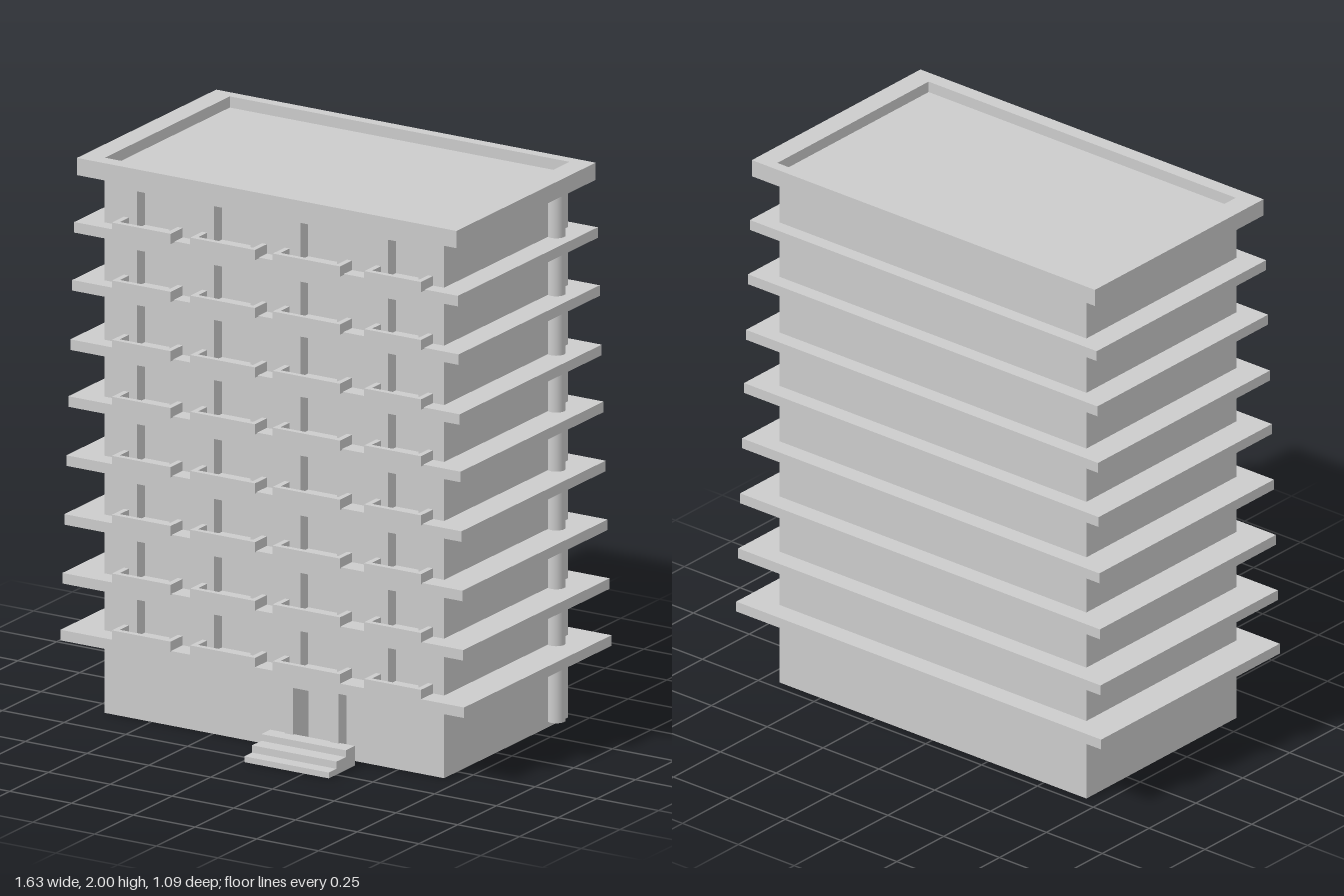
import * as THREE from 'three';

const mat = new THREE.MeshStandardMaterial({ color: 0xcccccc, flatShading: true });
const smoothMat = new THREE.MeshStandardMaterial({ color: 0xcccccc });

// Box given by its limits on each axis
function box(parent, name, x0, x1, y0, y1, z0, z1) {
  const m = new THREE.Mesh(new THREE.BoxGeometry(x1 - x0, y1 - y0, z1 - z0), mat);
  m.position.set((x0 + x1) / 2, (y0 + y1) / 2, (z0 + z1) / 2);
  m.name = name;
  parent.add(m);
  return m;
}

function rect(Type, x0, x1, y0, y1) {
  const s = new Type();
  s.moveTo(x0, y0);
  s.lineTo(x1, y0);
  s.lineTo(x1, y1);
  s.lineTo(x0, y1);
  s.closePath();
  return s;
}

function extrude(parent, name, shape, depth) {
  const m = new THREE.Mesh(new THREE.ExtrudeGeometry(shape, { depth, bevelEnabled: false }), mat);
  m.name = name;
  parent.add(m);
  return m;
}

export function createModel() {
  const model = new THREE.Group();
  model.name = 'apartmentBuilding';

  const left = -0.69, right = 0.685, back = -0.465, front = 0.335;
  const recess = front - 0.05;
  const slabBottoms = [0.26, 0.465, 0.677, 0.889, 1.102, 1.307, 1.521, 1.73];
  const slabHeight = 0.038;
  const windowTops = [0.43, 0.64, 0.847, 1.063, 1.275, 1.492, 1.69, 1.902];
  const bays = [
    { window: [-0.558, -0.426], rail: [-0.611, -0.373] },
    { window: [-0.246, -0.098], rail: [-0.294, -0.032] },
    { window: [0.103, 0.251], rail: [0.04, 0.312] },
    { window: [0.458, 0.582], rail: [0.41, 0.64] },
  ];
  const door = [0.105, 0.255, 0.02, 0.24];

  // Main block and the front wall with window and door recesses
  box(model, 'mainBlock', left, right, 0, 1.955, back, recess);
  const wall = rect(THREE.Shape, left, right, 0, 1.95);
  wall.holes.push(rect(THREE.Path, ...door));
  slabBottoms.forEach((y, i) => {
    for (const b of bays) {
      wall.holes.push(rect(THREE.Path, ...b.window, y + slabHeight - 0.005, windowTops[i]));
    }
  });
  extrude(model, 'frontWall', wall, front - recess).position.z = recess;

  // Floor slabs, slightly narrower towards the top, each with four balcony rails
  slabBottoms.forEach((y, i) => {
    const inset = i * 0.0058, insetZ = i * 0.0035;
    const top = y + slabHeight;
    const floor = new THREE.Group();
    floor.name = 'floor' + (i + 1);
    box(floor, 'slab', -0.82 + inset, 0.814 - inset, y, top, -0.541 + insetZ, 0.412 - insetZ);
    for (const b of bays) {
      const [x0, x1] = b.rail;
      const t = 0.02, y0 = top - 0.003, y1 = top + 0.034, z1 = 0.413;
      const rail = new THREE.Group();
      rail.name = 'balconyRail';
      box(rail, 'railFront', x0, x1, y0, y1, z1 - t, z1);
      box(rail, 'railRightSide', x0, x0 + t, y0, y1, front, z1 - t);
      box(rail, 'railLeftSide', x1 - t, x1, y0, y1, front, z1 - t);
      floor.add(rail);
    }
    model.add(floor);
  });

  // Roof parapet ring around the sunken roof
  const ring = rect(THREE.Shape, -0.77, 0.766, -0.385, 0.515);
  ring.holes.push(rect(THREE.Path, left, right, -0.332, 0.475));
  const parapet = extrude(model, 'roofParapet', ring, 0.062);
  parapet.rotation.x = -Math.PI / 2;
  parapet.position.y = 1.938;
  box(model, 'roofDeck', left - 0.01, right + 0.01, 1.94, 1.96, -0.48, 0.34);

  // Door surround
  const frame = new THREE.Group();
  frame.name = 'doorSurround';
  box(frame, 'rightJamb', 0.072, door[0], 0, 0.262, front, 0.386);
  box(frame, 'leftJamb', door[1], 0.29, 0, 0.262, front, 0.386);
  box(frame, 'lintel', door[0], door[1], door[3], 0.262, front, 0.386);
  model.add(frame);

  // Entrance steps, one stepped profile
  const profile = new THREE.Shape();
  [[0.378, 0], [0.547, 0], [0.547, 0.021], [0.497, 0.021], [0.497, 0.047],
    [0.437, 0.047], [0.437, 0.071], [0.378, 0.071]]
    .forEach(([z, y], i) => (i ? profile.lineTo(z, y) : profile.moveTo(z, y)));
  const steps = extrude(model, 'entranceSteps', profile, 0.342);
  steps.rotation.y = -Math.PI / 2;
  steps.position.x = 0.351;

  // Drainpipe on the left side
  const pipe = new THREE.Mesh(new THREE.CylinderGeometry(0.032, 0.032, 1.92, 24), smoothMat);
  pipe.name = 'drainpipe';
  pipe.position.set(0.702, 0.98, -0.3625);
  model.add(pipe);

  return model;
}
